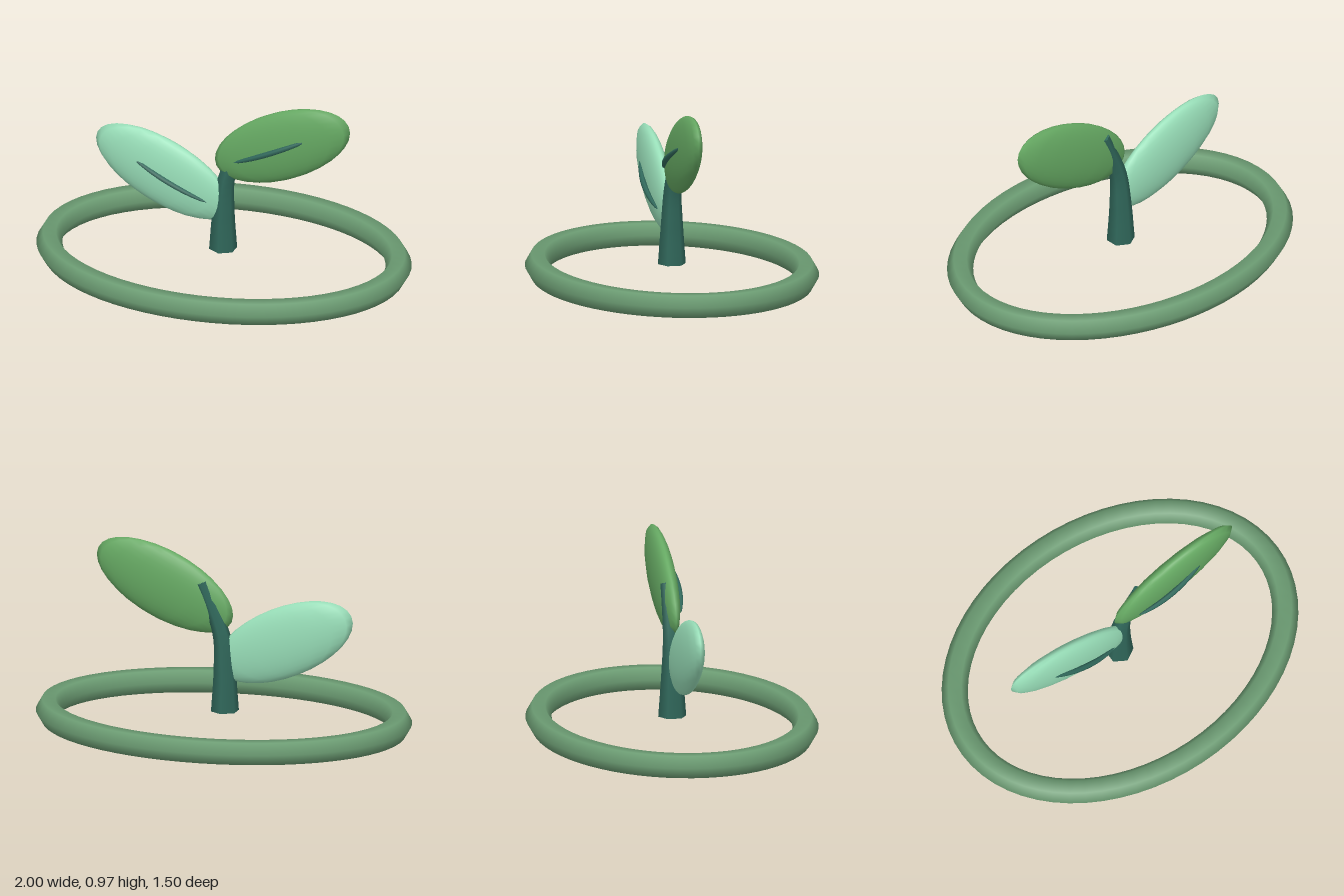
import * as THREE from 'three';

function material(name, color) {
  const m = new THREE.MeshStandardMaterial({ color });
  m.name = name;
  return m;
}

function part(name, geometry, mat) {
  const mesh = new THREE.Mesh(geometry, mat);
  mesh.name = name;
  return mesh;
}

// Tube whose radius follows radiusAt(t) along the curve
function taperedTube(curve, segments, sides, radiusAt) {
  const geo = new THREE.TubeGeometry(curve, segments, 1, sides);
  const pos = geo.attributes.position;
  const v = new THREE.Vector3();
  for (let i = 0; i < pos.count; i++) {
    const t = Math.floor(i / (sides + 1)) / segments;
    const c = curve.getPointAt(t);
    v.fromBufferAttribute(pos, i).sub(c).multiplyScalar(radiusAt(t)).add(c);
    pos.setXYZ(i, v.x, v.y, v.z);
  }
  return geo;
}

// Oval ring of constant six-sided section, lying flat
function ovalRing(a, b, r) {
  const geo = new THREE.TorusGeometry(1, r, 6, 64).rotateX(Math.PI / 2);
  const pos = geo.attributes.position, nor = geo.attributes.normal;
  for (let i = 0; i < pos.count; i++) {
    const u = Math.atan2(pos.getZ(i), pos.getX(i));
    const c = Math.cos(u), s = Math.sin(u);
    const out = nor.getX(i) * c + nor.getZ(i) * s;
    const len = Math.hypot(c / a, s / b);
    const nx = out * c / a / len, ny = nor.getY(i), nz = out * s / b / len;
    nor.setXYZ(i, nx, ny, nz);
    pos.setXYZ(i, a * c + r * nx, r * ny, b * s + r * nz);
  }
  return geo;
}

export function createModel() {
  const model = new THREE.Group();
  model.name = 'sprout';
  const ringGreen = material('ring green', 0x6b9b72);
  const leafGreen = material('leaf green', 0x65a862);
  const mint = material('mint', 0x98deb8);
  const teal = material('dark teal', 0x31695c);

  // Base ring
  const ring = part('baseRing', ovalRing(0.932, 0.682, 0.068), ringGreen);
  ring.position.y = 0.06;
  model.add(ring);

  // Curved six-sided stem with closed ends
  const stemCurve = new THREE.CatmullRomCurve3([
    new THREE.Vector3(-0.005, 0.09, 0),
    new THREE.Vector3(-0.003, 0.3, 0),
    new THREE.Vector3(0.015, 0.5, 0),
    new THREE.Vector3(0.12, 0.77, -0.008),
  ]);
  const stemRadius = (t) => 0.03 + 0.044 * Math.pow(1 - t, 1.2);
  const stem = new THREE.Group();
  stem.name = 'stem';
  stem.add(part('stemBody', taperedTube(stemCurve, 14, 6, stemRadius), teal));
  const bottom = new THREE.CircleGeometry(stemRadius(0), 6, Math.PI / 2).rotateX(Math.PI / 2);
  const bottomCap = part('stemBottom', bottom, teal);
  bottomCap.position.copy(stemCurve.getPointAt(0));
  const end = stemCurve.getTangentAt(1);
  const top = new THREE.CircleGeometry(stemRadius(1), 6, Math.PI / 2)
    .rotateX(-Math.PI / 2).rotateZ(-Math.atan2(end.x, end.y));
  const topCap = part('stemTop', top, teal);
  topCap.position.copy(stemCurve.getPointAt(1));
  stem.add(bottomCap, topCap);
  model.add(stem);

  // Two leaves, each with an arched midrib on its front
  const tilt = THREE.MathUtils.degToRad(25);
  const leaves = [
    { name: 'leftLeaf', side: 1, y: 0.735, mat: leafGreen },
    { name: 'rightLeaf', side: -1, y: 0.483, mat: mint },
  ];
  for (const { name, side, y, mat } of leaves) {
    const leaf = new THREE.Group();
    leaf.name = name;
    const blade = part('blade', new THREE.SphereGeometry(1, 16, 16), mat);
    blade.scale.set(0.403, 0.184, 0.061);
    const rib = new THREE.QuadraticBezierCurve3(
      new THREE.Vector3(-side * 0.28, 0, 0.045),
      new THREE.Vector3(-side * 0.06, 0, 0.102),
      new THREE.Vector3(side * 0.165, 0, 0.045),
    );
    const ribRadius = (t) => 0.015 * Math.pow(Math.max(0, Math.sin(Math.PI * t)), 0.4);
    leaf.add(blade, part('midrib', taperedTube(rib, 16, 6, ribRadius), teal));
    leaf.position.set(side * 0.328, y, 0.014);
    leaf.rotation.z = side * tilt;
    model.add(leaf);
  }
  return model;
}
